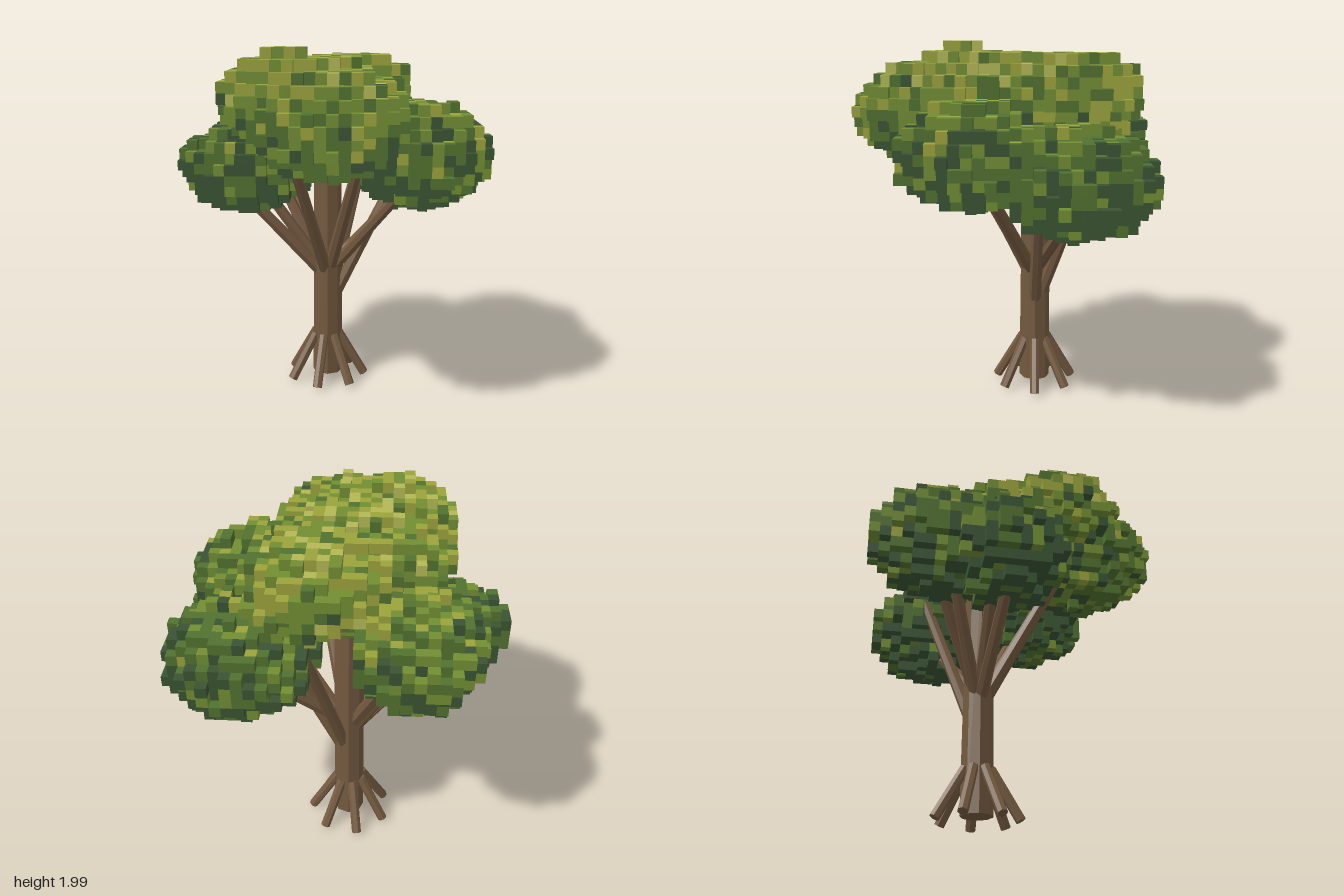
import * as THREE from 'three';
import { mergeGeometries } from 'three/addons/utils/BufferGeometryUtils.js';

const CELL = 0.0567;
const TRUNK = new THREE.Vector3(-0.047, 0, -0.17);
const LEAF_COLORS = [0x3a5433, 0x51712f, 0x728e33, 0x9ba33b, 0xb3b855];

// Leaf masses: centre x, y, z, then radii x, y, z
const CLUMPS = [
  [-0.08, 1.64, 0.00, 0.48, 0.31, 0.42], // middle
  [-0.02, 1.63, 0.37, 0.41, 0.28, 0.46], // front
  [-0.25, 1.73, 0.24, 0.36, 0.24, 0.34], // upper front
  [-0.29, 1.87, 0.26, 0.13, 0.13, 0.15], // peak
  [0.11, 1.74, -0.37, 0.34, 0.22, 0.36], // upper back
  [-0.50, 1.32, -0.10, 0.37, 0.24, 0.31], // right side
  [-0.39, 1.43, -0.46, 0.33, 0.275, 0.37], // right back
  [0.49, 1.315, -0.37, 0.39, 0.28, 0.40], // left back
  [0.45, 1.45, 0.16, 0.37, 0.27, 0.39], // left side
];

// Repeatable value in 0..1 for a cell
function hash(i, j, k, seed) {
  let h = Math.imul(i + 101, 374761393) ^ Math.imul(j + 57, 668265263) ^ Math.imul(k + 211, 1274126177) ^ Math.imul(seed, 982451653);
  h = Math.imul(h ^ (h >>> 13), 1274126177);
  h = Math.imul(h ^ (h >>> 16), 2246822519);
  return ((h ^ (h >>> 15)) >>> 0) / 4294967296;
}

// Tapered stick between two points
function stick(name, a, b, rA, rB, sides, material) {
  const dir = b.clone().sub(a);
  const mesh = new THREE.Mesh(new THREE.CylinderGeometry(rB, rA, dir.length(), sides), material);
  mesh.position.copy(a).add(b).multiplyScalar(0.5);
  mesh.quaternion.setFromUnitVectors(new THREE.Vector3(0, 1, 0), dir.normalize());
  mesh.name = name;
  return mesh;
}

// Blocky crown: outer faces of all filled cells, grouped by leaf colour
function createCrown() {
  const NX = 15, NZ = 14, NY = 17;
  const cellY = (j) => 2 - (j + 0.5) * CELL;
  const filled = (i, j, k) => {
    if (Math.abs(i) > NX || Math.abs(k) > NZ || j < 0 || j >= NY) return false;
    const limit = 0.91 + 0.14 * hash(i, j, k, 1);
    return CLUMPS.some(([x, y, z, rx, ry, rz]) =>
      Math.hypot((i * CELL - x) / rx, (cellY(j) - y) / ry, (k * CELL - z) / rz) < limit);
  };

  // One square per side of a cell, with the step to its neighbour
  const half = Math.PI / 2;
  const square = (rx, ry) => new THREE.PlaneGeometry(CELL, CELL)
    .translate(0, 0, CELL / 2).rotateX(rx).rotateY(ry);
  const sides = [
    [[0, 0, 1], square(0, 0)],
    [[0, 0, -1], square(0, Math.PI)],
    [[1, 0, 0], square(0, half)],
    [[-1, 0, 0], square(0, -half)],
    [[0, -1, 0], square(-half, 0)],
    [[0, 1, 0], square(half, 0)],
  ];

  const faces = LEAF_COLORS.map(() => []);
  for (let i = -NX; i <= NX; i++) {
    for (let j = 0; j < NY; j++) {
      for (let k = -NZ; k <= NZ; k++) {
        if (!filled(i, j, k)) continue;
        // Darker low down, lighter towards the top
        const height = (cellY(j) - 1.04) / 0.96;
        const shade = height * 3.4 - 0.4 + (hash(i, j, k, 2) + hash(i, j, k, 3) - 1) * 2.1;
        const tone = THREE.MathUtils.clamp(Math.round(shade), 0, 4);
        for (const [[di, dj, dk], geo] of sides) {
          if (filled(i + di, j + dj, k + dk)) continue;
          faces[tone].push(geo.clone().translate(i * CELL, cellY(j), k * CELL));
        }
      }
    }
  }

  const crown = new THREE.Group();
  crown.name = 'crown';
  faces.forEach((list, tone) => {
    const mesh = new THREE.Mesh(mergeGeometries(list), new THREE.MeshStandardMaterial({ color: LEAF_COLORS[tone] }));
    mesh.name = `leavesTone${tone + 1}`;
    crown.add(mesh);
  });
  return crown;
}

export function createModel() {
  const tree = new THREE.Group();
  tree.name = 'tree';
  const bark = new THREE.MeshStandardMaterial({ color: 0x745a40, flatShading: true });
  const at = (x, y, z) => new THREE.Vector3(x, y, z);

  // Trunk runs up into the crown
  tree.add(stick('trunk', at(TRUNK.x - 0.004, 0.045, TRUNK.z), at(TRUNK.x, 1.5, TRUNK.z), 0.088, 0.078, 8, bark));

  // Roots splay evenly around the base
  const roots = new THREE.Group();
  roots.name = 'roots';
  for (let n = 0; n < 7; n++) {
    const angle = (n / 7) * Math.PI * 2;
    const ring = (r, y) => at(TRUNK.x - 0.01 + r * Math.cos(angle), y, TRUNK.z + r * Math.sin(angle));
    roots.add(stick('root', ring(0.226, 0.02), ring(0.07, 0.29), 0.028, 0.028, 7, bark));
  }
  tree.add(roots);

  // Branches: start height, then tip x, y, z
  const branches = new THREE.Group();
  branches.name = 'branches';
  [
    [0.68, -0.60, 1.25, -0.08],
    [0.72, -0.48, 1.27, -0.16],
    [0.70, -0.40, 1.32, -0.38],
    [0.74, -0.32, 1.32, -0.46],
    [0.70, -0.23, 1.45, 0.28],
    [0.73, 0.14, 1.45, 0.25],
    [0.72, 0.42, 1.28, 0.10],
    [0.74, 0.40, 1.12, -0.34],
    [0.54, 0.36, 1.27, -0.18],
    [0.58, 0.18, 1.40, -0.48],
  ].forEach(([y, tx, ty, tz]) => {
    const dx = tx - TRUNK.x, dz = tz - TRUNK.z, d = Math.hypot(dx, dz);
    const start = at(TRUNK.x + (dx / d) * 0.045, y, TRUNK.z + (dz / d) * 0.045);
    branches.add(stick('branch', start, at(tx, ty, tz), 0.037, 0.03, 7, bark));
  });
  tree.add(branches);

  tree.add(createCrown());
  return tree;
}
